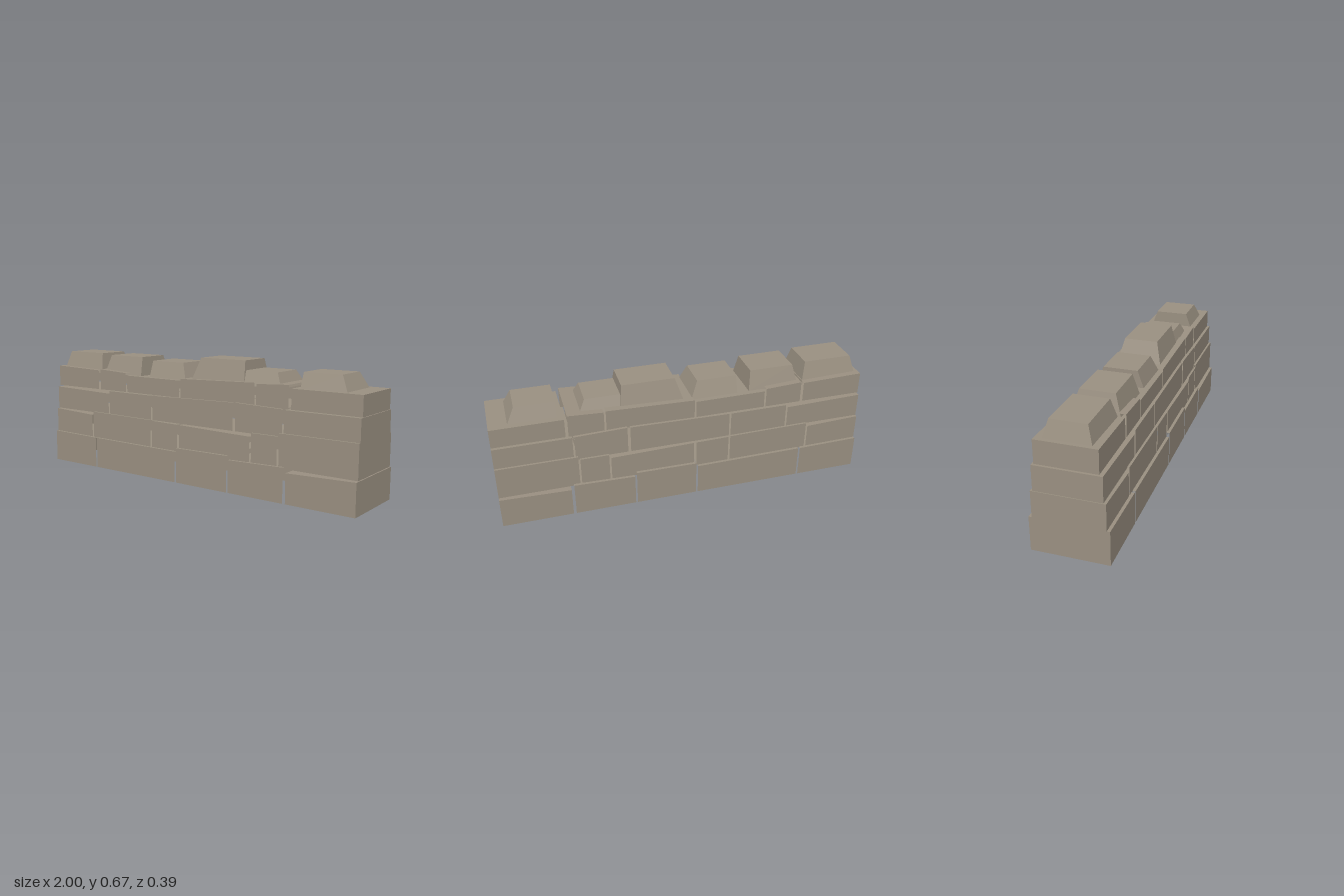
import * as THREE from 'three';

const stone = new THREE.MeshStandardMaterial({ color: 0x9a9081, side: THREE.DoubleSide });
stone.name = 'stone';

// Flat-shaded mesh from a list of four-cornered faces
function quadMesh(name, quads) {
  const positions = [];
  for (const [a, b, c, d] of quads) positions.push(...a, ...b, ...c, ...a, ...c, ...d);
  const geometry = new THREE.BufferGeometry();
  geometry.setAttribute('position', new THREE.Float32BufferAttribute(positions, 3));
  geometry.computeVertexNormals();
  const mesh = new THREE.Mesh(geometry, stone);
  mesh.name = name;
  return mesh;
}

// Hollow course stone: front, back and sloping top; ends only at the wall's ends
function courseStone(x0, x1, bottom, top0, top1, h) {
  const quads = [
    [[x0, bottom, h], [x1, bottom, h], [x1, top1, h], [x0, top0, h]],
    [[x1, bottom, -h], [x0, bottom, -h], [x0, top0, -h], [x1, top1, -h]],
    [[x0, top0, h], [x1, top1, h], [x1, top1, -h], [x0, top0, -h]],
  ];
  if (x0 === -1) quads.push([[x0, bottom, -h], [x0, bottom, h], [x0, top0, h], [x0, top0, -h]]);
  if (x1 === 1) quads.push([[x1, bottom, h], [x1, bottom, -h], [x1, top1, -h], [x1, top1, h]]);
  return quadMesh('courseStone', quads);
}

// Tapered coping stone
function capStone(b0, b1, t0, t1, top) {
  const y = 0.55, hb = 0.122, ht = 0.09;
  const base = [[b0, y, hb], [b1, y, hb], [b1, y, -hb], [b0, y, -hb]];
  const lid = [[t0, top, ht], [t1, top, ht], [t1, top, -ht], [t0, top, -ht]];
  const quads = [lid];
  for (let i = 0; i < 4; i++) {
    const j = (i + 1) % 4;
    quads.push([base[i], base[j], lid[j], lid[i]]);
  }
  return quadMesh('capStone', quads);
}

// Courses: bottom height, half depth, stones as [left, right, top at left, top at right]
const courses = [
  { name: 'footingCourse', bottom: 0, half: 0.194, stones: [
    [-1, -0.66, 0.18, 0.175], [-0.65, -0.06, 0.175, 0.17], [-0.05, 0.28, 0.19, 0.193],
    [0.29, 0.615, 0.172, 0.18], [0.63, 1, 0.155, 0.166]] },
  { name: 'secondCourse', bottom: 0.17, half: 0.178, stones: [
    [-1, -0.7, 0.317, 0.305], [-0.69, -0.245, 0.325, 0.32], [-0.235, -0.055, 0.318, 0.315],
    [-0.04, 0.41, 0.315, 0.305], [0.42, 0.57, 0.325, 0.325], [0.58, 1, 0.342, 0.343]] },
  { name: 'thirdCourse', bottom: 0.32, half: 0.166, stones: [
    [-1, -0.575, 0.45, 0.44], [-0.565, -0.25, 0.455, 0.455], [-0.24, 0.3, 0.455, 0.465],
    [0.315, 0.59, 0.466, 0.458], [0.6, 1, 0.456, 0.456]] },
  { name: 'topCourse', bottom: 0.458, half: 0.151, stones: [
    [-1, -0.665, 0.577, 0.568], [-0.65, -0.45, 0.575, 0.565], [-0.44, -0.06, 0.552, 0.55],
    [-0.05, 0.42, 0.56, 0.573], [0.43, 0.615, 0.568, 0.577], [0.63, 1, 0.56, 0.56]] },
];

// Coping: base left, base right, top left, top right, top height
const caps = [
  [-0.985, -0.665, -0.955, -0.69, 0.663], [-0.64, -0.36, -0.615, -0.375, 0.656],
  [-0.295, -0.04, -0.295, -0.08, 0.64], [0, 0.337, 0.042, 0.323, 0.674],
  [0.325, 0.555, 0.33, 0.515, 0.625], [0.66, 0.91, 0.66, 0.865, 0.637],
];

export function createModel() {
  const wall = new THREE.Group();
  wall.name = 'stoneWall';
  for (const { name, bottom, half, stones } of courses) {
    const course = new THREE.Group();
    course.name = name;
    for (const [x0, x1, t0, t1] of stones) course.add(courseStone(x0, x1, bottom, t0, t1, half));
    wall.add(course);
  }
  const coping = new THREE.Group();
  coping.name = 'coping';
  for (const cap of caps) coping.add(capStone(...cap));
  wall.add(coping);
  return wall;
}
